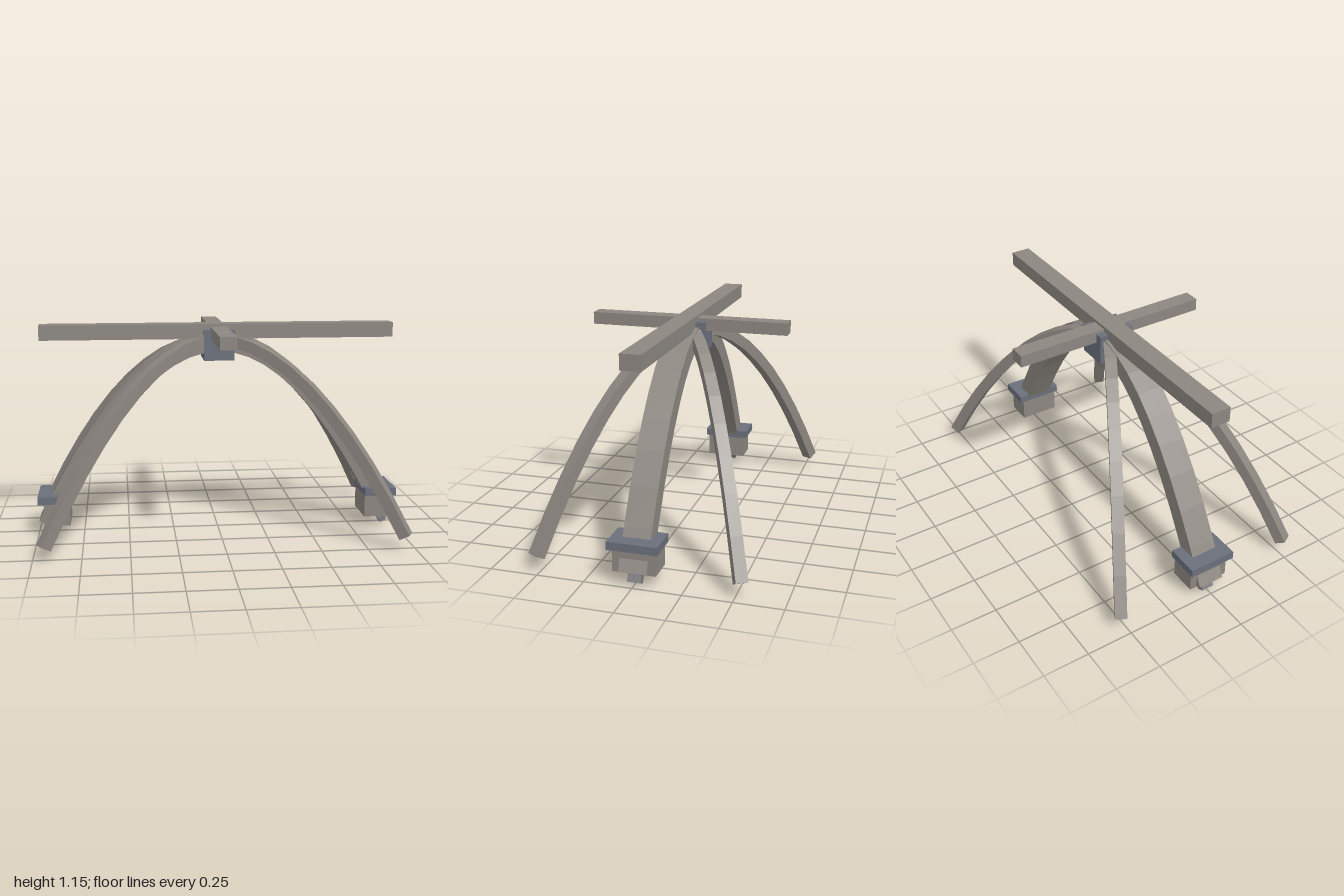
import * as THREE from 'three';

export function createModel() {
  const model = new THREE.Group();
  const stone = new THREE.MeshStandardMaterial({ name: 'warm grey', color: 0x8c8680 });
  const steel = new THREE.MeshStandardMaterial({ name: 'blue grey', color: 0x6a6f7b });
  const peg = new THREE.MeshStandardMaterial({ name: 'mid grey', color: 0x7d7d80 });

  function add(name, geometry, material, x = 0, y = 0, z = 0) {
    const mesh = new THREE.Mesh(geometry, material);
    mesh.name = name;
    mesh.position.set(x, y, z);
    model.add(mesh);
    return mesh;
  }
  const box = (name, w, h, d, material, x, y, z) =>
    add(name, new THREE.BoxGeometry(w, h, d), material, x, y, z);

  // Parabolic arch of constant thickness, standing in the xy plane
  function archGeometry(span, top, end, thickness, width, segments = 20) {
    const c = (top - end) / (span * span);
    const outer = [], inner = [];
    for (let i = 0; i <= segments; i++) {
      const x = span * (2 * i / segments - 1);
      const y = top - c * x * x;
      const slope = 2 * c * x, len = Math.hypot(1, slope);
      outer.push(new THREE.Vector2(x, y));
      inner.push(new THREE.Vector2(x - thickness * slope / len, y - thickness / len));
    }
    const shape = new THREE.Shape([...outer, ...inner.reverse()]);
    const geometry = new THREE.ExtrudeGeometry(shape, { depth: width, bevelEnabled: false });
    return geometry.translate(0, 0, -width / 2);
  }

  // Wide main arch and two slimmer crossing arches
  add('mainArch', archGeometry(0.995, 1.105, 0.08, 0.096, 0.145), stone);
  for (const side of [1, -1]) {
    add('diagonalArch', archGeometry(1.104, 1.1, 0.09, 0.06, 0.062), stone)
      .rotation.y = side * 0.508;
  }

  // Hub and the crossed beams on top
  box('hub', 0.165, 0.163, 0.2, steel, 0, 1.043, 0);
  box('longBeam', 1.93, 0.08, 0.106, stone, 0, 1.115, 0);
  box('crossBeam', 0.088, 0.066, 1.086, stone, 0, 1.107, 0);

  // Footings at both ends of the main arch
  for (const side of [1, -1]) {
    box('footBlock', 0.142, 0.128, 0.224, stone, side * 0.894, 0.127, 0);
    box('footCollar', 0.177, 0.043, 0.26, steel, side * 0.908, 0.209, 0);
    box('footPeg', 0.04, 0.1, 0.07, peg, side * 0.932, 0.056, 0).rotation.z = side * 0.46;
  }
  return model;
}
